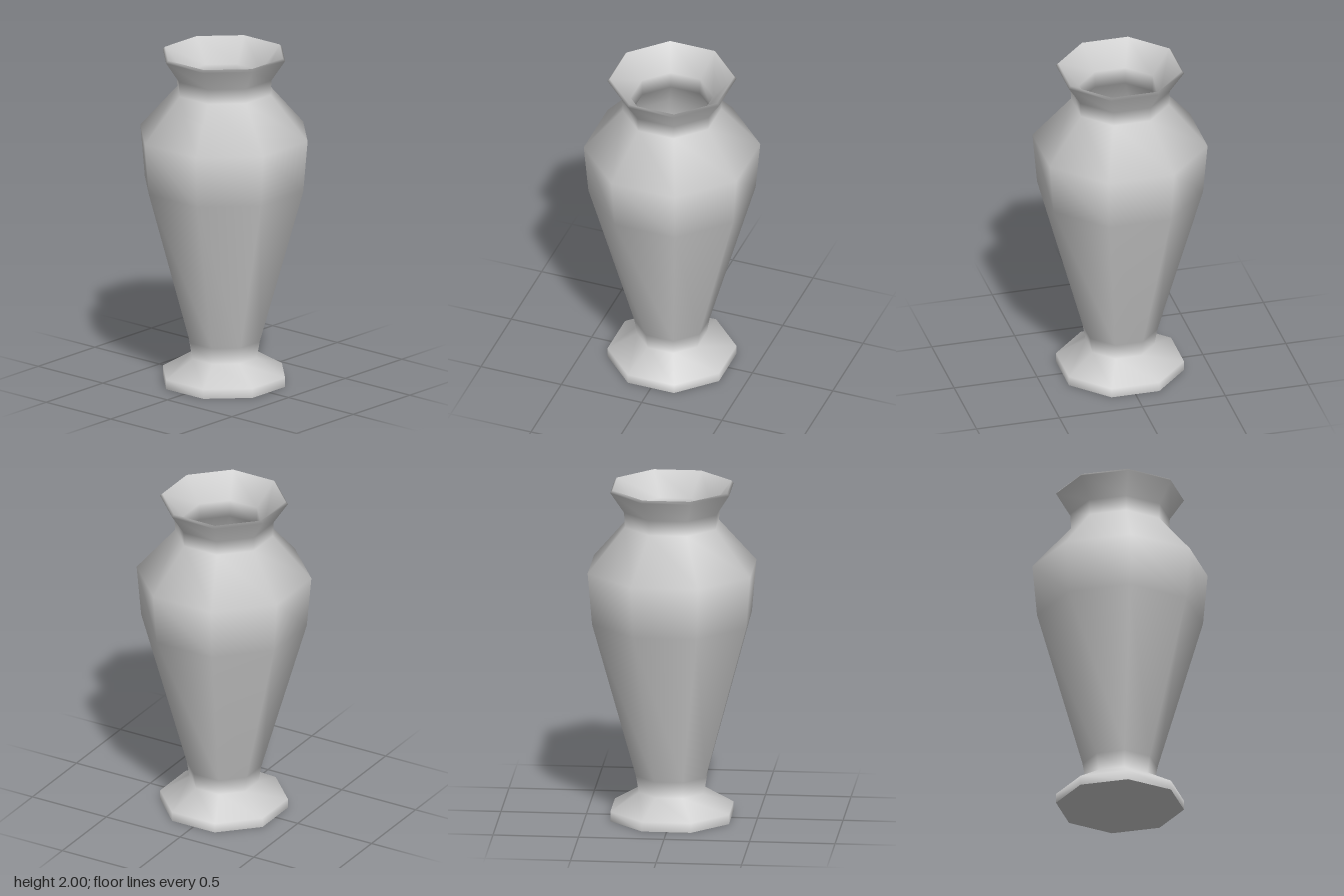
import * as THREE from 'three';

const SIDES = 8;
const TURN = Math.PI / SIDES; // puts flat sides on the x and z axes
const toCorner = 1 / Math.cos(TURN); // profile radii are measured to the flats

export function createModel() {
  const vase = new THREE.Group();
  vase.name = 'vase';
  const material = new THREE.MeshStandardMaterial({ color: 0xcccccc });

  const add = (name, geometry) => {
    const mesh = new THREE.Mesh(geometry, material);
    mesh.name = name;
    vase.add(mesh);
    return mesh;
  };
  const lathe = (profile) => new THREE.LatheGeometry(
    profile.map(([r, y]) => new THREE.Vector2(r * toCorner, y)), SIDES, TURN);
  const disc = (r) => new THREE.CircleGeometry(r * toCorner, SIDES, TURN, Math.PI * 2);

  // Foot, body, neck and rim, then down the hollow inside
  add('shell', lathe([
    [0.347, 0], [0.347, 0.057], [0.187, 0.16], [0.203, 0.26],
    [0.45, 1.2], [0.475, 1.51], [0.265, 1.77], [0.27, 1.86],
    [0.347, 1.985], [0.335, 2],
    [0.222, 1.86], [0.218, 1.76], [0.425, 1.5], [0.405, 1.21], [0.162, 0.27],
  ]));

  // Flat floor inside the vase
  const floor = add('innerFloor', disc(0.162));
  floor.rotation.x = -Math.PI / 2;
  floor.position.y = 0.27;

  // Underside of the foot
  add('footBase', disc(0.347)).rotation.x = Math.PI / 2;

  return vase;
}
